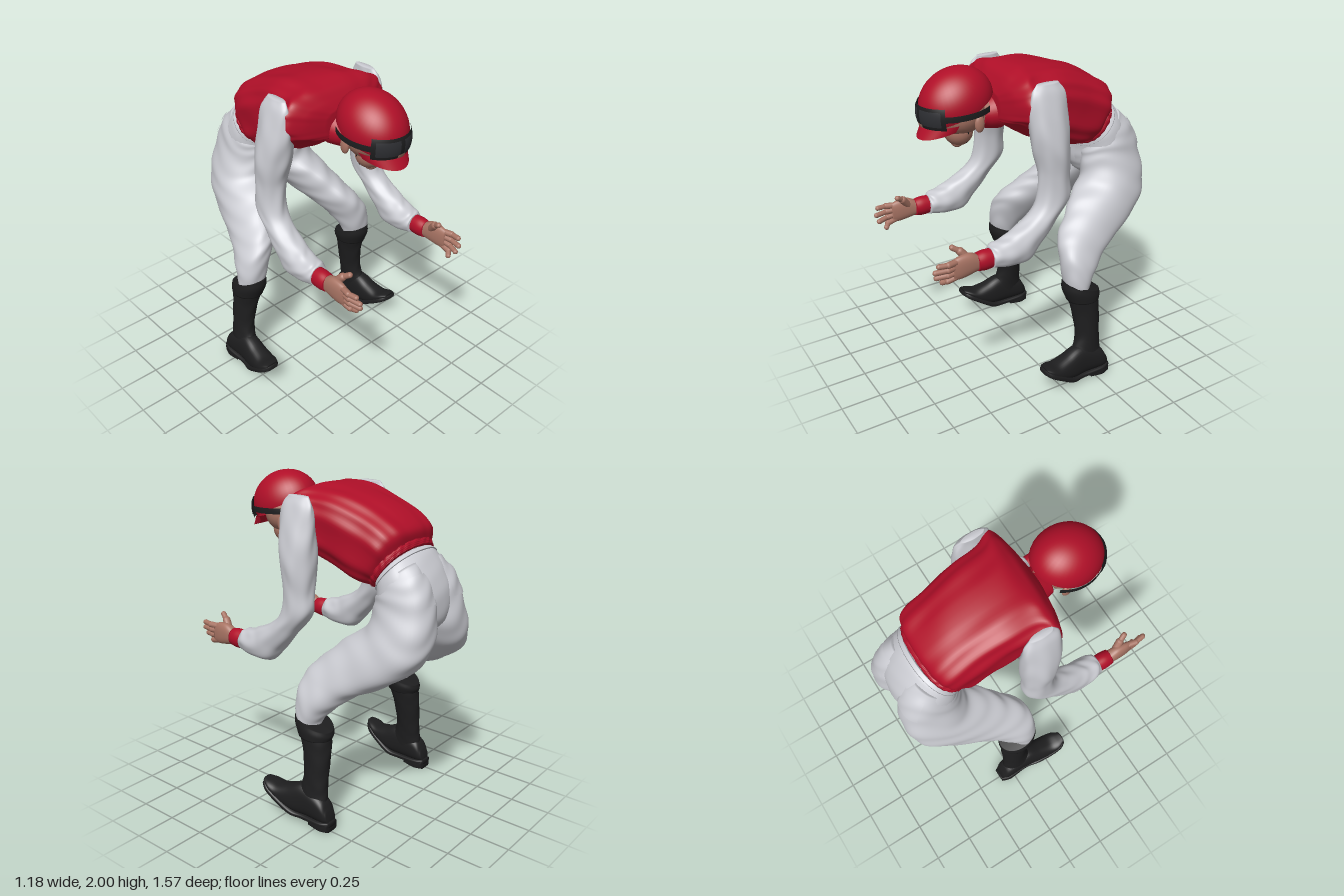
import * as THREE from 'three';

const mat = (name, color, side = THREE.FrontSide) => {
  const m = new THREE.MeshStandardMaterial({ color, side });
  m.name = name;
  return m;
};

export function createModel() {
  const red = mat('red silk', 0xb00f28, THREE.DoubleSide);
  const white = mat('pale cloth', 0xc9cad0);
  const black = mat('black leather', 0x1e1e1f, THREE.DoubleSide);
  const skin = mat('skin', 0xa87464, THREE.DoubleSide);
  const lens = mat('dark lens', 0x2e2f33, THREE.DoubleSide);
  const root = new THREE.Group();
  root.name = 'rider';

  const add = (name, geo, material, parent = root) => {
    const m = new THREE.Mesh(geo, material);
    m.name = name;
    parent.add(m);
    return m;
  };

  // Smooth skin through rings [z0, y0, z1, y1, centreX, radiusX]; the points are the back and front of each ring.
  function loft(rings, o = {}) {
    const { s = 1, e = 1, fold = 0, k = 9, freq = 36, grow = 0, v0 = 0, v1 = 1, a0 = 0, a1 = Math.PI * 2, nu = 36, nv = rings.length * 5 } = o;
    const full = a1 - a0 > 6.28;
    const curve = f => new THREE.CatmullRomCurve3(rings.map(f), false, 'catmullrom');
    const A = curve(r => new THREE.Vector3(0, r[1], r[0]));
    const B = curve(r => new THREE.Vector3(0, r[3], r[2]));
    const W = curve(r => new THREE.Vector3(r[4] * s, r[5], 0));
    const pos = [], mids = [], idx = [], cols = full ? nu : nu + 1;
    const pw = x => Math.sign(x) * Math.abs(x) ** e;
    for (let j = 0; j <= nv; j++) {
      const v = v0 + (v1 - v0) * j / nv;
      const a = A.getPoint(v), b = B.getPoint(v), w = W.getPoint(v);
      const mid = a.clone().add(b).multiplyScalar(0.5).setX(w.x);
      const half = b.sub(a).multiplyScalar(0.5);
      half.setLength(half.length() + grow);
      for (let i = 0; i < cols; i++) {
        const t = a0 + (a1 - a0) * i / nu;
        const f = 1 + fold * (Math.sin(k * t + 5 * v) + Math.sin(freq * v + 3 * Math.sin(2 * t))) / 2;
        const c = pw(Math.cos(t)) * f;
        pos.push(mid.x + pw(Math.sin(t)) * f * (w.y + grow), mid.y + half.y * c, mid.z + half.z * c);
        mids.push(mid);
      }
    }
    for (let j = 0; j < nv; j++) for (let i = 0; i < nu; i++) {
      const p = j * cols + i, q = j * cols + (i + 1) % cols;
      idx.push(p, q, p + cols, q, q + cols, p + cols);
    }
    if (full) [0, nv].forEach(j => {
      const c = pos.length / 3, m = mids[j * cols];
      pos.push(m.x, m.y, m.z);
      for (let i = 0; i < cols; i++) {
        const p = j * cols + i, q = j * cols + (i + 1) % cols;
        if (j) idx.push(p, q, c); else idx.push(q, p, c);
      }
    });
    // Turn every face outward
    const P = i => new THREE.Vector3().fromArray(pos, i * 3);
    let sum = 0;
    for (let i = 0; i < nu * nv * 6; i += 3) {
      const a = P(idx[i]), n = P(idx[i + 1]).sub(a).cross(P(idx[i + 2]).sub(a));
      sum += n.dot(a.sub(mids[idx[i]]));
    }
    if (sum < 0) idx.reverse();
    const g = new THREE.BufferGeometry();
    g.setAttribute('position', new THREE.Float32BufferAttribute(pos, 3));
    g.setIndex(idx);
    g.computeVertexNormals();
    return g;
  }

  // Rounded rod between two points
  function rod(name, p, q, r, material, parent) {
    const a = new THREE.Vector3(...p), d = new THREE.Vector3(...q).sub(a);
    const m = add(name, new THREE.CapsuleGeometry(r, d.length(), 5, 10), material, parent);
    m.position.copy(a).addScaledVector(d, 0.5);
    m.quaternion.setFromUnitVectors(new THREE.Vector3(0, 1, 0), d.normalize());
  }
  function ball(name, p, scale, material, parent) {
    const m = add(name, new THREE.SphereGeometry(1, 24, 16), material, parent);
    m.position.set(...p);
    m.scale.set(...scale);
    return m;
  }

  // Jacket body, gathered hem and collar
  add('jacket', loft([
    [-0.545, 1.68, -0.37, 1.43, 0, 0.225], [-0.53, 1.78, -0.29, 1.44, 0, 0.27],
    [-0.37, 1.88, -0.14, 1.485, 0, 0.283], [-0.15, 1.95, -0.01, 1.545, 0, 0.3],
    [0.03, 1.965, 0.06, 1.575, 0, 0.322], [0.115, 1.94, 0.135, 1.66, 0, 0.365],
    [0.165, 1.89, 0.175, 1.67, 0, 0.28], [0.2, 1.83, 0.2, 1.66, 0, 0.12]],
    { e: 0.68, fold: 0.025, k: 14, freq: 26, nu: 96, nv: 60 }), red);
  add('jacketHem', loft([[-0.535, 1.715, -0.335, 1.43, 0, 0.24], [-0.555, 1.70, -0.36, 1.415, 0, 0.245], [-0.565, 1.675, -0.385, 1.42, 0, 0.235]],
    { e: 0.85, fold: 0.025, k: 24, nu: 96 }), red);
  add('collar', loft([[0.13, 1.83, 0.16, 1.60, 0, 0.13], [0.23, 1.79, 0.23, 1.61, 0, 0.1], [0.27, 1.77, 0.27, 1.63, 0, 0.09]]), red);

  // Trouser seat with waistband and fly
  const seat = [
    [-0.54, 1.67, -0.38, 1.445, 0, 0.212], [-0.61, 1.64, -0.385, 1.38, 0, 0.245],
    [-0.69, 1.54, -0.385, 1.31, 0, 0.258], [-0.74, 1.42, -0.40, 1.25, 0, 0.24],
    [-0.74, 1.28, -0.43, 1.20, 0, 0.15], [-0.68, 1.2, -0.48, 1.17, 0, 0.05]];
  add('trouserSeat', loft(seat, { e: 0.92, fold: 0.008 }), white);
  add('waistband', loft(seat, { e: 0.92, grow: 0.008, v0: 0.07, v1: 0.15, nv: 8 }), white);
  add('trouserFly', loft(seat, { e: 0.92, grow: 0.008, v0: 0.14, v1: 0.5, a0: -0.02, a1: 0.16, nu: 4 }), white);

  for (const s of [1, -1]) {
    const side = s > 0 ? 'left' : 'right';
    const part = name => {
      const g = new THREE.Group();
      g.name = side + name;
      root.add(g);
      return g;
    };

    // Trouser leg with a back pocket
    const leg = part('Leg');
    const legRings = [
      [-0.62, 1.61, -0.41, 1.42, 0.115, 0.12], [-0.705, 1.51, -0.395, 1.38, 0.125, 0.14],
      [-0.757, 1.38, -0.385, 1.32, 0.135, 0.15], [-0.782, 1.2, -0.365, 1.22, 0.17, 0.165],
      [-0.735, 1.05, -0.26, 1.14, 0.225, 0.155], [-0.56, 0.915, -0.17, 1.05, 0.29, 0.135],
      [-0.40, 0.835, -0.08, 0.955, 0.35, 0.12], [-0.28, 0.735, -0.055, 0.85, 0.41, 0.108],
      [-0.22, 0.66, -0.06, 0.71, 0.44, 0.09], [-0.21, 0.58, -0.09, 0.58, 0.45, 0.07]];
    const cloth = { s, fold: 0.03, k: 5, freq: 56, nu: 48, nv: 90 };
    add('trouserLeg', loft(legRings, cloth), white, leg);
    add('backPocket', loft(legRings, {
      ...cloth, grow: 0.006, v0: 0.06, v1: 0.21, a0: Math.PI - s * 0.25 - 0.5, a1: Math.PI - s * 0.25 + 0.5, nu: 12, nv: 12 }), white, leg);

    // Riding boot: shaft, flared top, foot, sole and heel
    const boot = part('Boot');
    add('bootShaft', loft([
      [-0.285, 0.60, -0.06, 0.66, 0.44, 0.09], [-0.295, 0.48, -0.11, 0.49, 0.455, 0.075],
      [-0.292, 0.30, -0.13, 0.32, 0.475, 0.063], [-0.30, 0.18, -0.10, 0.22, 0.487, 0.06],
      [-0.32, 0.08, -0.06, 0.14, 0.495, 0.06]], { s, fold: 0.025, k: 4, freq: 30 }), black, boot);
    add('bootTop', loft([
      [-0.295, 0.615, -0.05, 0.705, 0.44, 0.095], [-0.30, 0.585, -0.05, 0.65, 0.442, 0.1],
      [-0.292, 0.56, -0.08, 0.57, 0.447, 0.092]], { s }), black, boot);
    add('bootFoot', loft([
      [-0.345, 0.055, -0.33, 0.13, 0.495, 0.04], [-0.3, 0.045, -0.28, 0.2, 0.495, 0.06],
      [-0.18, 0.045, -0.14, 0.25, 0.495, 0.062], [-0.08, 0.05, -0.03, 0.215, 0.502, 0.068],
      [0, 0.085, 0.05, 0.195, 0.51, 0.07], [0.07, 0.13, 0.105, 0.205, 0.52, 0.064],
      [0.12, 0.165, 0.145, 0.212, 0.525, 0.042]], { s, e: 0.8 }), black, boot);
    add('bootSole', loft([
      [-0.35, 0.035, -0.35, 0.07, 0.495, 0.04], [-0.29, 0.03, -0.29, 0.065, 0.495, 0.062],
      [-0.15, 0.025, -0.15, 0.06, 0.495, 0.058], [-0.06, 0.035, -0.075, 0.07, 0.502, 0.07],
      [0.04, 0.095, 0.02, 0.13, 0.513, 0.076], [0.11, 0.14, 0.09, 0.175, 0.522, 0.068],
      [0.147, 0.17, 0.135, 0.2, 0.528, 0.042]], { s, e: 0.6 }), black, boot);
    add('bootHeel', loft([
      [-0.345, 0.0, -0.345, 0.06, 0.495, 0.045], [-0.29, 0.0, -0.29, 0.06, 0.495, 0.062],
      [-0.21, 0.01, -0.21, 0.06, 0.495, 0.058]], { s, e: 0.4 }), black, boot);

    // Sleeve and cuff
    const arm = part('Arm');
    add('sleeve', loft([
      [-0.05, 1.93, 0.09, 1.93, 0.33, 0.02], [-0.09, 1.86, 0.13, 1.87, 0.343, 0.042],
      [-0.10, 1.72, 0.14, 1.73, 0.35, 0.08], [-0.105, 1.56, 0.12, 1.57, 0.355, 0.105],
      [-0.10, 1.40, 0.09, 1.42, 0.37, 0.085], [-0.10, 1.27, 0.11, 1.25, 0.38, 0.082],
      [0.0, 1.14, 0.19, 1.17, 0.39, 0.08], [0.10, 1.02, 0.29, 1.12, 0.395, 0.083],
      [0.19, 0.93, 0.35, 1.095, 0.397, 0.085], [0.31, 0.925, 0.41, 1.08, 0.395, 0.082],
      [0.43, 0.94, 0.43, 1.065, 0.395, 0.06]], { s, fold: 0.035, k: 7, freq: 46, nu: 56, nv: 90 }), white, arm);
    add('cuff', loft([[0.42, 0.945, 0.42, 1.06, 0.4, 0.05], [0.475, 0.942, 0.475, 1.063, 0.4, 0.052],
      [0.52, 0.95, 0.52, 1.055, 0.4, 0.047]], { s }), red, arm);

    // Open hand: palm, four fingers and a raised thumb
    const hand = part('Hand');
    add('palm', loft([[0.5, 0.96, 0.5, 1.045, 0.4, 0.038], [0.56, 0.945, 0.56, 1.075, 0.405, 0.036],
      [0.62, 0.935, 0.62, 1.075, 0.408, 0.03], [0.67, 0.935, 0.67, 1.06, 0.408, 0.02]], { s, e: 0.85 }), skin, hand);
    [[1.045, 1.05, 0.755], [1.015, 1.01, 0.772], [0.985, 0.97, 0.762], [0.955, 0.925, 0.722]].forEach(([y0, y1, z], i) => {
      const bend = [s * (0.422 - i * 0.006), (y0 + y1) / 2, 0.70];
      rod('finger', [s * 0.408, y0, 0.64], bend, 0.019, skin, hand);
      rod('fingertip', bend, [s * (0.415 - i * 0.012), y1, z], 0.016, skin, hand);
    });
    rod('thumbBase', [s * 0.395, 1.03, 0.56], [s * 0.375, 1.085, 0.605], 0.024, skin, hand);
    rod('thumbTip', [s * 0.375, 1.085, 0.605], [s * 0.36, 1.112, 0.645], 0.017, skin, hand);
  }

  // Head bowed forward, with neck and face
  const head = new THREE.Group();
  head.name = 'head';
  head.position.x = 0.01;
  root.add(head);
  rod('neck', [0, 1.72, 0.2], [0, 1.70, 0.34], 0.078, skin, head);
  ball('skull', [0, 1.735, 0.395], [0.135, 0.125, 0.15], skin, head);
  ball('jaw', [0, 1.635, 0.405], [0.09, 0.09, 0.085], skin, head).rotation.x = 0.3;
  ball('chin', [0, 1.565, 0.415], [0.042, 0.03, 0.035], skin, head);
  rod('nose', [0, 1.67, 0.5], [0, 1.625, 0.495], 0.018, skin, head);
  rod('lips', [-0.025, 1.592, 0.458], [0.025, 1.592, 0.458], 0.011, skin, head);
  for (const s of [-1, 1]) {
    ball('ear', [s * 0.13, 1.695, 0.335], [0.018, 0.05, 0.03], skin, head);
    rod('chinStrap', [s * 0.132, 1.76, 0.385], [s * 0.06, 1.575, 0.385], 0.005, black, head);
    ball('eye', [s * 0.045, 1.675, 0.51], [0.016, 0.009, 0.008], black, head);
  }

  // Tilted helmet shell, with goggles wrapped level around its front
  const deg = Math.PI / 180;
  const band = (name, material, size, pos, tilt, phi, dPhi, th, dTh) => {
    const m = add(name, new THREE.SphereGeometry(1, 40, 20, phi * deg, dPhi * deg, th * deg, dTh * deg), material, head);
    m.scale.set(...size);
    m.position.set(...pos);
    m.rotation.x = tilt;
  };
  band('helmetShell', red, [0.183, 0.186, 0.22], [0, 1.807, 0.412], 0.4, 0, 360, 0, 101);
  const wrap = (name, material, grow, ...arc) =>
    band(name, material, [0.184 * grow, 0.2, 0.214 * grow], [0, 1.77, 0.416], 0.06, ...arc);
  wrap('goggleStrap', black, 1.02, -40, 260, 85, 10);
  wrap('goggleFrame', black, 1.05, 38, 104, 72, 36);
  for (const phi of [45, 94]) wrap('goggleLens', lens, 1.065, phi, 41, 77, 25);
  wrap('noseBridge', skin, 1.07, 82, 16, 101, 7);

  // Helmet peak curving down at the front
  const peak = new THREE.PlaneGeometry(1, 1, 24, 4), pp = peak.attributes.position;
  for (let i = 0; i < pp.count; i++) {
    const a = pp.getX(i) * 140 * deg, t = 0.5 - pp.getY(i), c = Math.cos(a);
    pp.setXYZ(i, Math.sin(a) * (0.178 - 0.02 * t), 1.735 - 0.035 * c - (0.025 + 0.045 * c) * t, 0.41 + c * (0.2 + 0.04 * t));
  }
  peak.computeVertexNormals();
  add('helmetPeak', peak, red, head);

  return root;
}
